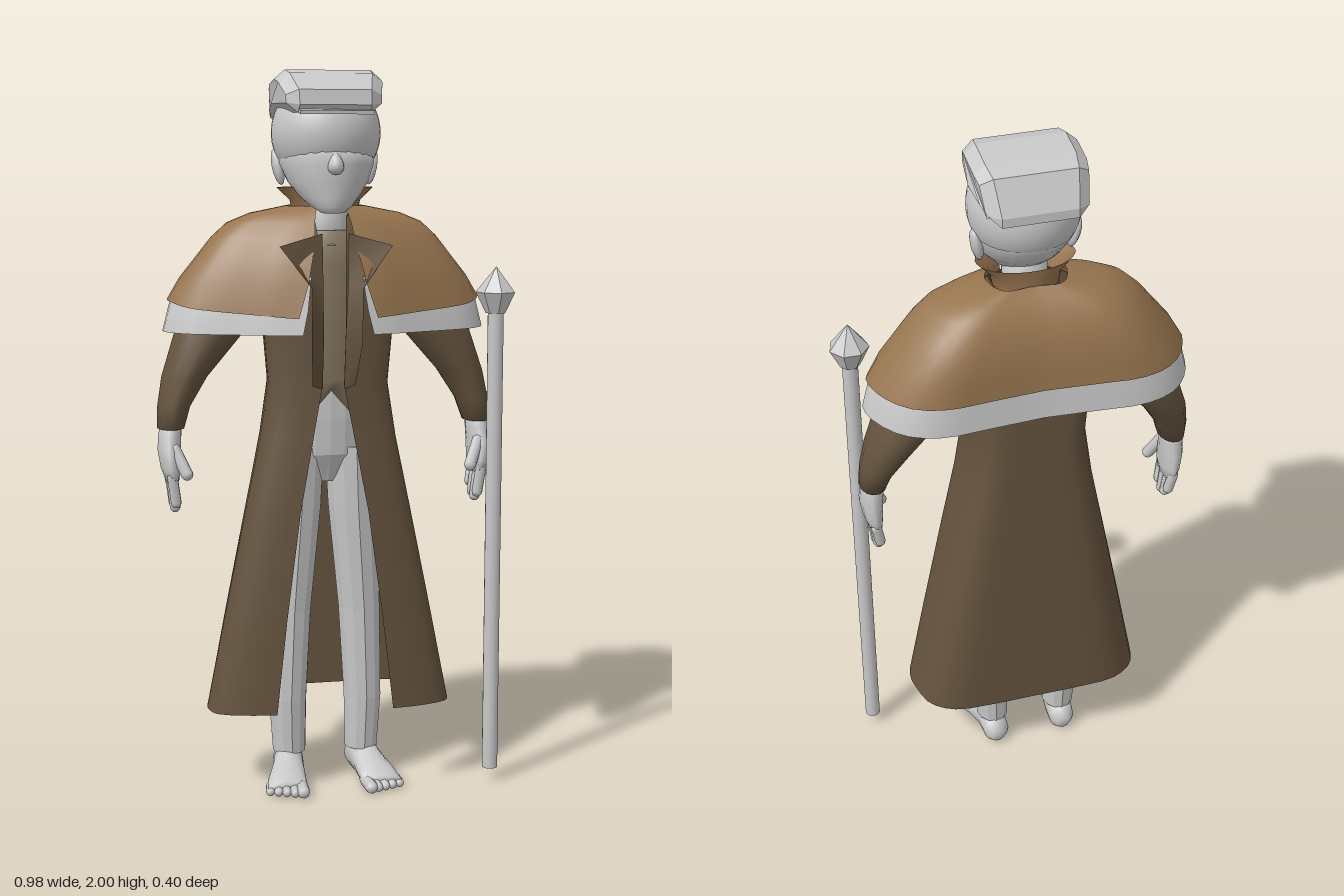
import * as THREE from 'three';

const V = (x, y, z) => new THREE.Vector3(x, y, z);
const mat = (name, color, extra = {}) => Object.assign(new THREE.MeshStandardMaterial({ color, ...extra }), { name });

// Skin a list of cross-sections; closed sections wrap around and get end caps
function loft(rows, closed = true) {
  const n = rows[0].length, pos = [], idx = [];
  rows.forEach(r => r.forEach(p => pos.push(p.x, p.y, p.z)));
  const cols = closed ? n : n - 1;
  for (let i = 0; i < rows.length - 1; i++) for (let j = 0; j < cols; j++) {
    const a = i * n + j, b = i * n + (j + 1) % n;
    idx.push(a, a + n, b, b, a + n, b + n);
  }
  if (closed) [0, rows.length - 1].forEach(i => {
    const c = rows[i].reduce((s, p) => s.add(p), V(0, 0, 0)).divideScalar(n), k = pos.length / 3;
    pos.push(c.x, c.y, c.z);
    for (let j = 0; j < n; j++) {
      const a = i * n + j, b = i * n + (j + 1) % n;
      i === 0 ? idx.push(k, a, b) : idx.push(k, b, a);
    }
  });
  const g = new THREE.BufferGeometry();
  g.setAttribute('position', new THREE.Float32BufferAttribute(pos, 3));
  g.setIndex(idx);
  g.computeVertexNormals();
  return g;
}

// Limb through horizontal ellipses [y, x, z, rx, rz], listed upward
const limb = (list, n = 16) => loft(list.map(([y, x, z, rx, rz]) =>
  Array.from({ length: n }, (_, i) => {
    const a = i / n * Math.PI * 2;
    return V(x + rx * Math.cos(a), y, z + rz * Math.sin(a));
  })));

// Full open outline from the half that runs back centre -> front edge
function outline(half, steps = 20) {
  const h = new THREE.CatmullRomCurve3(half, false, 'centripetal').getPoints(steps);
  return [...h.slice(1).reverse().map(p => V(-p.x, p.y, p.z)), ...h];
}

// Round-ended digit between two points
function digit(a, b, r) {
  const d = b.clone().sub(a), g = new THREE.CapsuleGeometry(r, d.length(), 4, 8);
  g.applyQuaternion(new THREE.Quaternion().setFromUnitVectors(V(0, 1, 0), d.normalize()));
  const m = a.clone().add(b).multiplyScalar(0.5);
  return g.translate(m.x, m.y, m.z);
}

// Move every vertex of a geometry by a rule
function reshape(g, rule) {
  const p = g.attributes.position, v = V(0, 0, 0);
  for (let i = 0; i < p.count; i++) {
    rule(v.fromBufferAttribute(p, i));
    p.setXYZ(i, v.x, v.y, v.z);
  }
  g.computeVertexNormals();
  return g;
}

function mirrored(g) {
  const m = g.clone().scale(-1, 1, 1), a = m.index.array;
  for (let i = 0; i < a.length; i += 3) [a[i], a[i + 1]] = [a[i + 1], a[i]];
  return m;
}

export function createModel() {
  const model = new THREE.Group();
  const body = new THREE.Group();
  body.name = 'figure';
  body.position.x = -0.018;
  model.add(body);

  const D = { side: THREE.DoubleSide };
  const grey = mat('pale grey', 0xc8c8c8, D);
  const greyFlat = mat('pale grey faceted', 0xc8c8c8, { flatShading: true });
  const coatMat = mat('dark brown', 0x65533e, D);
  const capeMat = mat('tan brown', 0x97754f, D);
  const shirtMat = mat('taupe', 0x83745f);

  const add = (name, g, m, parent = body) => {
    const mesh = new THREE.Mesh(g, m);
    mesh.name = name;
    parent.add(mesh);
  };
  const pair = (name, g, m) => {
    add('left ' + name, g, m);
    add('right ' + name, mirrored(g), m);
  };

  // Head: tapered face, smooth skull, nose and ears
  add('face', limb([
    [1.618, 0, 0.11, 0.03, 0.024], [1.635, 0, 0.09, 0.055, 0.056], [1.66, 0, 0.06, 0.08, 0.087],
    [1.7, 0, 0.038, 0.11, 0.113], [1.75, 0, 0.018, 0.13, 0.136], [1.8, 0, 0.01, 0.135, 0.14]], 24), grey);
  add('skull', new THREE.SphereGeometry(0.15, 32, 20, 0, Math.PI * 2, 0, 2.06).translate(0, 1.832, 0.01), grey);
  add('nose', reshape(new THREE.SphereGeometry(1, 10, 8), v => {
    const taper = 1 - 0.35 * v.y;
    v.set(v.x * 0.022 * taper, 1.75 + v.y * 0.03, 0.147 + v.z * 0.026 * taper);
  }), grey);
  pair('ear', new THREE.SphereGeometry(1, 10, 8).scale(0.016, 0.05, 0.027).rotateZ(-0.2).rotateX(-0.15).translate(0.131, 1.74, -0.005), grey);
  add('neck', limb([[1.53, 0, 0.02, 0.075, 0.07], [1.6, 0, 0.005, 0.062, 0.062], [1.7, 0, 0.01, 0.06, 0.062]]), grey);

  // Cap: side profile (z, y) given a bevelled width, narrowed at front, back and base
  const profile = [[0.14, 1.885], [0.153, 1.905], [0.148, 1.945], [0.085, 1.99], [0.04, 2.0], [-0.05, 1.987],
    [-0.1, 1.97], [-0.143, 1.88], [-0.143, 1.855], [-0.08, 1.87], [0, 1.885]];
  const cap = new THREE.ExtrudeGeometry(new THREE.Shape(profile.map(p => new THREE.Vector2(...p))),
    { depth: 0.24, bevelEnabled: true, bevelSize: 0.025, bevelOffset: -0.025, bevelThickness: 0.03, bevelSegments: 1 });
  add('cap', reshape(cap.translate(0, 0, -0.12).rotateY(-Math.PI / 2),
    v => { v.x *= 1 - 0.17 * (v.z / 0.145) ** 2; }), greyFlat);
  add('cap visor', new THREE.BoxGeometry(0.2, 0.01, 0.065).rotateX(0.1).translate(0, 1.888, 0.145), greyFlat);

  // Trousers
  pair('trouser leg', limb([[0.085, 0.105, -0.005, 0.047, 0.054], [0.24, 0.109, -0.005, 0.054, 0.064],
    [0.5, 0.1, -0.01, 0.06, 0.074], [0.8, 0.08, -0.01, 0.07, 0.085], [0.97, 0.074, -0.01, 0.073, 0.09]], 12), greyFlat);
  add('trouser hips', limb([[0.87, 0, -0.01, 0.03, 0.05], [0.95, 0, -0.01, 0.13, 0.088],
    [1.05, 0, -0.01, 0.135, 0.096], [1.15, 0, -0.01, 0.13, 0.098]], 20), greyFlat);

  // Bare feet: upright sections [z, x, y, rx, ry] from heel to ball
  const foot = [[-0.075, 0.105, 0.035, 0.02, 0.02], [-0.058, 0.105, 0.045, 0.038, 0.042], [0, 0.108, 0.058, 0.042, 0.056],
    [0.05, 0.118, 0.046, 0.046, 0.044], [0.1, 0.13, 0.031, 0.055, 0.029], [0.15, 0.137, 0.022, 0.056, 0.018]];
  pair('foot', loft(foot.map(([z, x, y, rx, ry]) => Array.from({ length: 14 }, (_, i) => {
    const a = i / 14 * Math.PI * 2;
    return V(x + rx * Math.cos(a), y - ry * Math.sin(a), z);
  }))), grey);
  for (let i = 0; i < 5; i++) {
    const x = 0.093 + i * 0.022, r = i ? 0.013 : 0.018;
    pair('toe', digit(V(x, 0.02, 0.12), V(x + 0.004, r + 0.001, 0.182 - i * 0.009), r), grey);
  }

  // Shirt, its hem cut up to a point at the front
  const shirt = limb([[1.04, 0, -0.01, 0.142, 0.106], [1.16, 0, -0.01, 0.142, 0.108], [1.3, 0, -0.01, 0.14, 0.115],
    [1.48, 0, -0.01, 0.14, 0.108], [1.57, 0, 0, 0.09, 0.082]], 24);
  add('shirt', reshape(shirt, v => {
    if (v.y < 1.1 && v.z > 0.02) v.y += 0.1 * Math.max(0, 1 - Math.abs(v.x) / 0.09);
  }), shirtMat);

  // Long coat, open down the front: [y, half width, front z, back z, half opening]
  const coat = [[0.235, 0.345, 0.15, -0.135, 0.165], [0.5, 0.292, 0.143, -0.135, 0.135], [0.8, 0.23, 0.135, -0.135, 0.095],
    [1.0, 0.188, 0.126, -0.134, 0.058], [1.15, 0.165, 0.116, -0.132, 0.03], [1.3, 0.178, 0.12, -0.132, 0.034],
    [1.45, 0.19, 0.112, -0.125, 0.036], [1.55, 0.18, 0.1, -0.105, 0.038], [1.61, 0.09, 0.07, -0.07, 0.045]];
  add('coat', loft(coat.map(([y, w, f, b, o]) => outline([
    V(0, y, b), V(w * 0.4, y, b), V(w * 0.72, y, b * 0.93), V(w * 0.91, y, b * 0.6), V(w * 0.985, y, 0),
    V(w, y, f * 0.35), V(w * 0.95, y, f * 0.7), V((w * 0.95 + o) / 2, y, f * 0.92), V(o, y, f)])), false), coatMat);

  // Coat lapels, folded outward over the cape
  const lapel = [[[0.03, 1.14, 0.118], [0.06, 1.15, 0.128]], [[0.03, 1.28, 0.137], [0.07, 1.27, 0.172]],
    [[0.034, 1.42, 0.15], [0.07, 1.42, 0.182]], [[0.036, 1.565, 0.147], [0.155, 1.532, 0.16]]];
  pair('lapel', loft(lapel.map(r => r.map(p => V(...p)).reverse()), false), coatMat);

  // Sleeves and hands
  pair('sleeve', limb([[1.03, 0.435, 0.005, 0.038, 0.057], [1.09, 0.424, -0.008, 0.046, 0.07], [1.17, 0.392, -0.022, 0.064, 0.092],
    [1.3, 0.315, -0.03, 0.1, 0.112], [1.42, 0.24, -0.025, 0.09, 0.1], [1.54, 0.185, -0.02, 0.05, 0.07]], 14), coatMat);
  pair('palm', limb([[0.885, 0.434, 0.015, 0.018, 0.058], [0.92, 0.438, 0.016, 0.027, 0.066], [0.97, 0.441, 0.012, 0.032, 0.06],
    [1.01, 0.438, 0.006, 0.032, 0.046], [1.05, 0.434, 0.005, 0.028, 0.042]], 14), grey);
  for (let i = 0; i < 4; i++) {
    const z = -0.032 + i * 0.031, tip = [0.845, 0.82, 0.812, 0.828][i];
    pair('finger', digit(V(0.438, 0.9, z), V(0.428, tip, z * 0.85 + 0.004), 0.015), grey);
  }
  pair('thumb', digit(V(0.43, 0.975, 0.052), V(0.4, 0.91, 0.08), 0.017), grey);

  // Shoulder cape: hem outline (x, z) shrunk toward the neck
  // [y, width scale, back scale, front scale, half opening, front dip]
  const hem = [[0, -0.186], [0.15, -0.195], [0.27, -0.2], [0.36, -0.165], [0.42, -0.085], [0.438, 0],
    [0.395, 0.07], [0.33, 0.106], [0.24, 0.14], [0.165, 0.17]];
  const level = ([y, sx, sb, sf, o, dip = 0]) => outline([
    ...hem.map(([x, z]) => V(x * sx, y - dip * Math.max(0, z) / 0.19, z * (z > 0 ? sf : sb))),
    V(o, y - dip, 0.19 * sf)], 24);
  add('cape', loft([[1.38, 1, 1, 1, 0.108, 0.04], [1.44, 0.92, 0.97, 0.94, 0.08, 0.01], [1.5, 0.81, 0.92, 0.83, 0.064],
    [1.55, 0.72, 0.82, 0.72, 0.055], [1.59, 0.62, 0.7, 0.6, 0.05], [1.615, 0.48, 0.56, 0.5, 0.045],
    [1.635, 0.25, 0.42, 0.38, 0.035]].map(level), false), capeMat);
  add('cape lining', loft([[1.295, 1.03, 1.01, 1.01, 0.097], [1.38, 0.98, 0.975, 0.965, 0.082, 0.02],
    [1.45, 0.88, 0.94, 0.88, 0.07]].map(level), false), grey);

  // Standing collar, open and flared at the front
  const collar = [[1.615, 0.09, 0.075], [1.65, 0.098, 0.078], [1.685, 0.134, 0.085]].map(([y, rx, rz]) =>
    Array.from({ length: 25 }, (_, i) => {
      const a = Math.PI / 2 + 0.6 + i / 24 * (Math.PI * 2 - 1.2);
      return V(rx * Math.cos(a), y, -0.003 + rz * Math.sin(a));
    }));
  add('collar', loft(collar, false), capeMat);

  // Staff with a faceted head
  const staff = new THREE.Group();
  staff.name = 'staff';
  staff.position.set(0.435, 0, 0.134);
  model.add(staff);
  add('staff shaft', new THREE.CylinderGeometry(0.022, 0.022, 1.32, 16).translate(0, 0.7, 0), grey, staff);
  add('staff head', new THREE.LatheGeometry([[0, 1.34], [0.028, 1.342], [0.056, 1.4], [0, 1.47]]
    .map(p => new THREE.Vector2(...p)), 7), greyFlat, staff);
  return model;
}
